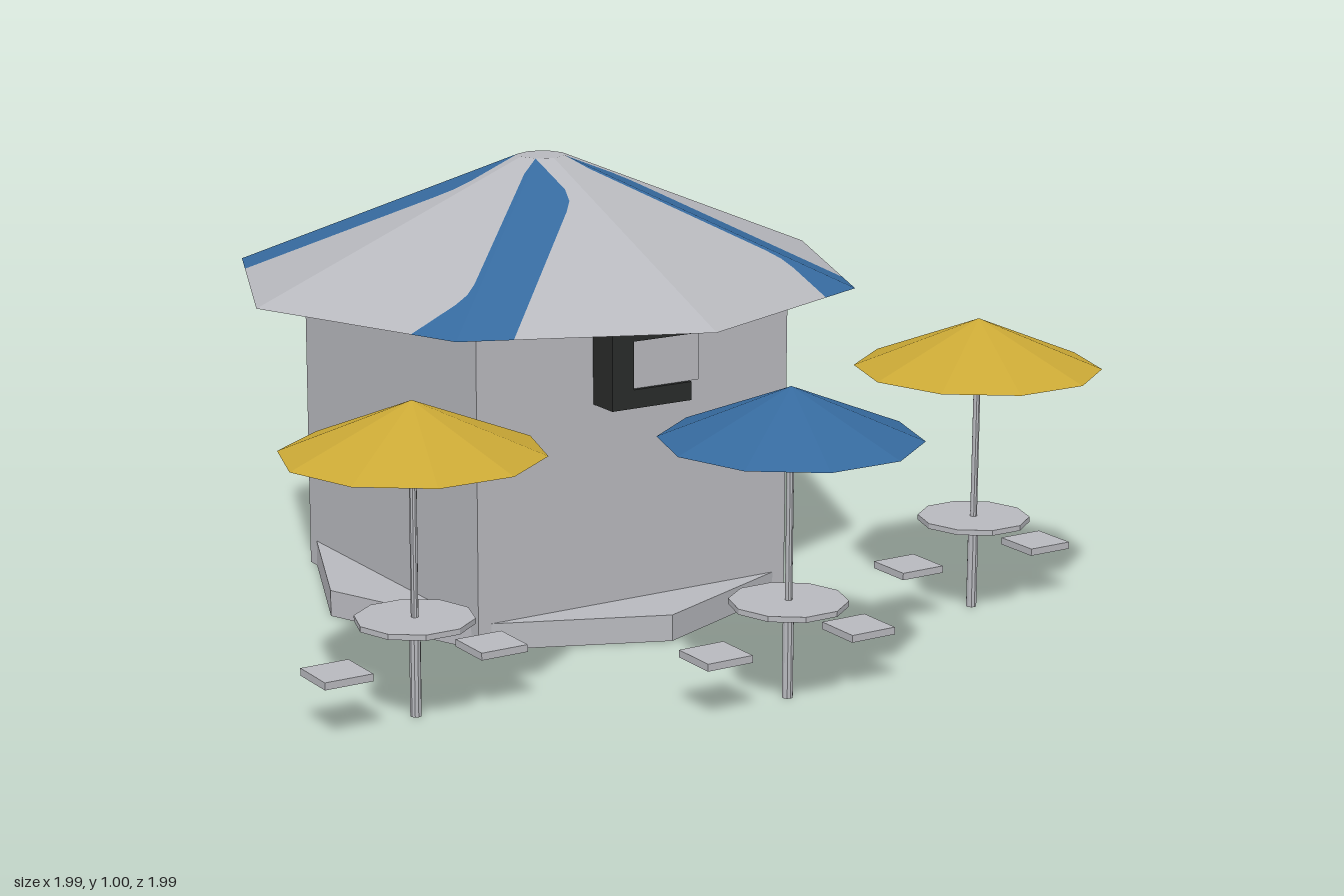
import * as THREE from 'three';

const mat = (name, color, extra = {}) => {
  const m = new THREE.MeshStandardMaterial({ color, ...extra });
  m.name = name;
  return m;
};

export function createModel() {
  const grey = mat('light grey', 0xb8b9be);
  const blue = mat('blue', 0x366a9e);
  const yellow = mat('yellow', 0xcba936);
  const dark = mat('dark frame', 0x292b2a);
  for (const m of [grey, blue, yellow, dark]) m.flatShading = true;

  const add = (parent, name, geo, material, x = 0, y = 0, z = 0) => {
    const mesh = new THREE.Mesh(geo, material);
    mesh.name = name;
    mesh.position.set(x, y, z);
    parent.add(mesh);
    return mesh;
  };
  // Box given by its minimum and maximum corners
  const box = (parent, name, material, a, b) => add(parent, name,
    new THREE.BoxGeometry(b[0] - a[0], b[1] - a[1], b[2] - a[2]), material,
    (a[0] + b[0]) / 2, (a[1] + b[1]) / 2, (a[2] + b[2]) / 2);

  const model = new THREE.Group();
  model.name = 'kioskWithTables';

  // Kiosk body and octagonal plinth
  const kiosk = new THREE.Group();
  kiosk.name = 'kiosk';
  kiosk.position.z = -0.2735;
  model.add(kiosk);
  const W = 0.404, EAVE = 0.73, TOP = 1.005;
  box(kiosk, 'walls', grey, [-W, 0, -W], [W, EAVE, W]);
  add(kiosk, 'plinth', new THREE.CylinderGeometry(0.558, 0.558, 0.06, 8), grey, 0, 0.03, 0);

  // Serving hatch: bracket-shaped dark frame around a grey counter box
  const z1 = W + 0.08;
  box(kiosk, 'hatchFrameTop', dark, [-0.11, 0.67, W - 0.01], [0.095, 0.715, z1]);
  box(kiosk, 'hatchFrameBottom', dark, [-0.11, 0.52, W - 0.01], [0.095, 0.562, z1]);
  box(kiosk, 'hatchFrameSide', dark, [-0.11, 0.562, W - 0.01], [-0.055, 0.67, z1]);
  box(kiosk, 'hatchBox', grey, [-0.055, 0.562, W - 0.01], [0.12, 0.67, z1 - 0.01]);
  // Narrow slot on the left wall
  box(kiosk, 'wallSlot', dark, [W - 0.01, 0.52, 0.255], [W + 0.008, 0.715, 0.284]);

  // Roof: plan outlines lifted onto the eight slopes, repeated every quarter turn
  const R = 0.725, r = 0.055, c = Math.SQRT1_2, apo = Math.cos(Math.PI / 8);
  const patch = (points, angle, flat) => {
    const geo = new THREE.ShapeGeometry(new THREE.Shape(points.map(p => new THREE.Vector2(...p))));
    const pos = geo.attributes.position;
    for (let i = 0; i < pos.count; i++) {
      const x = pos.getX(i), y = pos.getY(i);
      const d = x * Math.cos(angle) + y * Math.sin(angle);
      const h = flat ? EAVE : EAVE + (TOP - EAVE) * (R * apo - d) / ((R - r) * apo);
      pos.setXYZ(i, x, h, -y);
    }
    if (flat) geo.index.array.reverse(); // underside faces down
    const out = geo.toNonIndexed();
    out.computeVertexNormals();
    return out;
  };
  const hipTop = [r * c, r * c], hipEave = [R * c, R * c];
  // Stripe edges on either side of the hip, from the cap to the eave
  const sides = [
    { angle: Math.PI * 3 / 8, axis: [0, 1],
      edge: [[0.037, 0.165], [0.05, 0.205], [0.075, 0.235], [0.4, 0.5593]] },
    { angle: Math.PI / 8, axis: [1, 0],
      edge: [[0.088, 0.072], [0.38, 0.358], [0.41, 0.38], [0.445, 0.39], [0.5593, 0.4]] },
  ];
  const roof = new THREE.Group();
  roof.name = 'roof';
  kiosk.add(roof);
  for (let k = 0; k < 4; k++) {
    const quarter = new THREE.Group();
    quarter.name = 'roofQuarter';
    quarter.rotation.y = k * Math.PI / 2;
    roof.add(quarter);
    for (const { angle, axis, edge } of sides) {
      const stripe = [hipTop, ...edge, hipEave];
      const panel = [hipTop, ...edge, axis.map(v => v * R), axis.map(v => v * r)];
      for (const flat of [false, true]) {
        add(quarter, flat ? 'soffitStripe' : 'roofStripe', patch(stripe, angle, flat), blue);
        add(quarter, flat ? 'soffitPanel' : 'roofPanel', patch(panel, angle, flat), grey);
      }
    }
  }
  const cap = new THREE.CircleGeometry(r, 8);
  cap.rotateX(-Math.PI / 2);
  add(roof, 'roofCap', cap, grey, 0, TOP, 0);

  // Parasol tables, each with two square seats
  const parasol = (x, z, canopyColour) => {
    const g = new THREE.Group();
    g.name = 'parasolTable';
    g.position.set(x, 0, z);
    model.add(g);
    const turn = Math.PI / 10;
    add(g, 'canopy', new THREE.ConeGeometry(0.277, 0.112, 10), canopyColour, 0, 0.616, 0).rotation.y = turn;
    add(g, 'pole', new THREE.CylinderGeometry(0.008, 0.008, 0.4, 10), grey, 0, 0.37, 0);
    add(g, 'tableLeg', new THREE.CylinderGeometry(0.012, 0.012, 0.205, 10), grey, 0, 0.1025, 0);
    add(g, 'tableTop', new THREE.CylinderGeometry(0.126, 0.126, 0.012, 10), grey, 0, 0.208, 0).rotation.y = turn;
    for (const s of [-1, 1]) {
      add(g, 'seat', new THREE.BoxGeometry(0.11, 0.016, 0.11), grey, s * 0.181, 0.121, 0);
    }
  };
  parasol(0, 0.73, blue);
  for (const s of [-1, 1]) parasol(s * 0.72, 0.425, yellow);

  return model;
}
